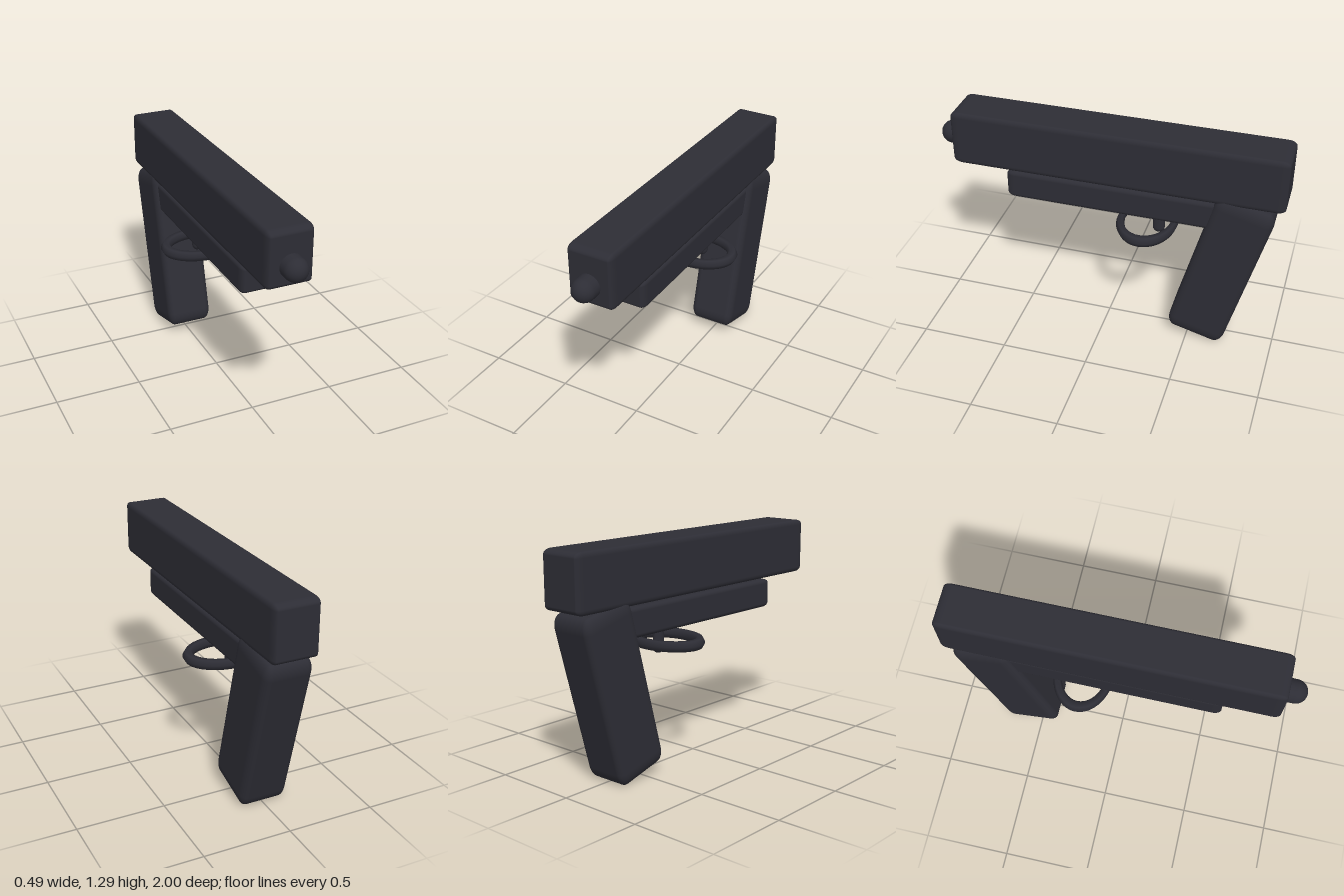
import * as THREE from 'three';
import { RoundedBoxGeometry } from 'three/addons/geometries/RoundedBoxGeometry.js';

export function createModel() {
  const model = new THREE.Group();
  const gunmetal = new THREE.MeshStandardMaterial({ color: 0x2d2d35 });
  gunmetal.name = 'gunmetal';

  const add = (name, geometry, x, y, z) => {
    const mesh = new THREE.Mesh(geometry, gunmetal);
    mesh.name = name;
    mesh.position.set(x, y, z);
    model.add(mesh);
    return mesh;
  };

  // Box whose edge rounding differs along each axis
  const softBox = ([w, h, d], [rx, ry, rz]) =>
    new RoundedBoxGeometry(w / rx, h / ry, d / rz, 5, 1).scale(rx, ry, rz);

  // Slide and the lower frame beneath it
  add('slide', softBox([0.26, 0.32, 1.89], [0.02, 0.03, 0.05]), 0, 1.14, -0.055);
  add('frame', softBox([0.23, 0.17, 1.3], [0.025, 0.025, 0.05]), 0, 0.883, -0.07);

  // Raked grip
  const grip = add('grip', softBox([0.276, 0.985, 0.34], [0.04, 0.08, 0.05]), 0, 0.515, -0.67);
  grip.rotation.x = -THREE.MathUtils.degToRad(15);

  // Round-nosed muzzle
  const muzzle = new THREE.CapsuleGeometry(0.066, 0.2, 10, 24).rotateX(Math.PI / 2);
  add('muzzle', muzzle, 0, 1.105, 0.834);

  // Flat oval guard ring and the trigger pin
  const ring = new THREE.TorusGeometry(0.2125, 0.0325, 6, 40).rotateX(Math.PI / 2);
  add('triggerGuard', ring.scale(1, 1, 0.715), 0, 0.716, -0.225);
  const pin = new THREE.CapsuleGeometry(0.035, 0.16, 8, 16).scale(0.77, 1, 1);
  add('trigger', pin, 0, 0.766, -0.29);

  return model;
}
